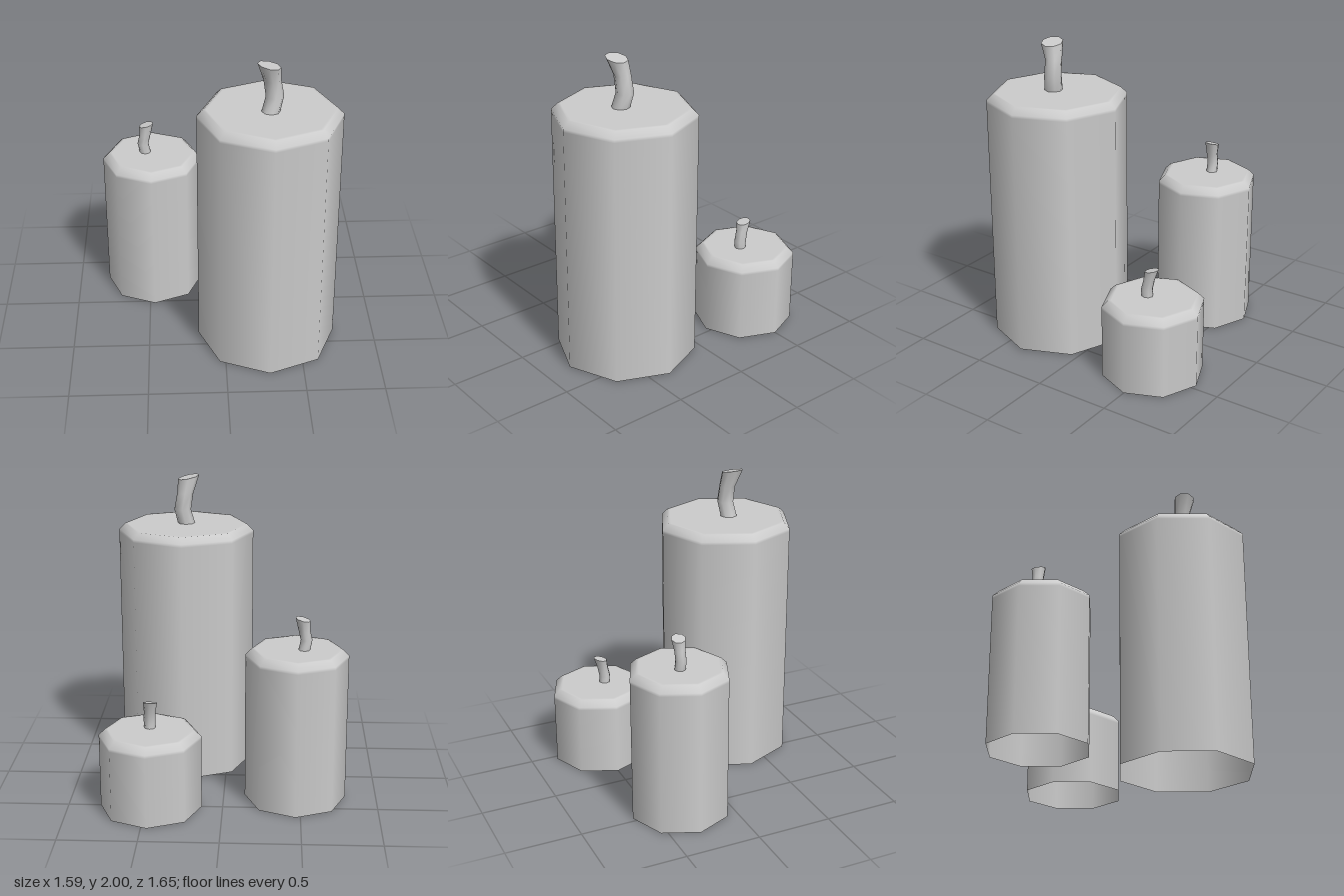
import * as THREE from 'three';

const SIDES = 8;
const BEVEL = 0.04;
const material = new THREE.MeshStandardMaterial({ color: 0xcccccc, side: THREE.DoubleSide });

// Each wick ring is [x, y, z, radius]; tilt is the slope of the cut end along x and z.
const candles = [
  {
    name: 'tallCandle', x: 0.282, z: 0.369, radius: 0.453, height: 1.675,
    rings: [[0.278, 1.66, 0.4, 0.058], [0.305, 1.77, 0.383, 0.056], [0.287, 1.88, 0.388, 0.054], [0.265, 1.985, 0.414, 0.071]],
    tilt: [-0.21, 0.05],
  },
  {
    name: 'mediumCandle', x: -0.468, z: -0.308, radius: 0.33, height: 1.02,
    rings: [[-0.51, 1.01, -0.321, 0.037], [-0.525, 1.085, -0.32, 0.037], [-0.511, 1.145, -0.321, 0.037], [-0.5, 1.223, -0.325, 0.047]],
    tilt: [0.25, 0.05],
  },
  {
    name: 'shortCandle', x: 0.463, z: -0.498, radius: 0.328, height: 0.53,
    rings: [[0.466, 0.52, -0.456, 0.037], [0.468, 0.575, -0.453, 0.038], [0.465, 0.645, -0.468, 0.037], [0.46, 0.708, -0.484, 0.046]],
    tilt: [0.03, -0.24],
  },
];

// Hollow octagonal body, open underneath, with a bevelled top rim
function waxBody({ x, z, radius: r, height: h }) {
  const profile = [
    [r, 0], [r, h - BEVEL - 0.02], [r, h - BEVEL],
    [r - BEVEL, h], [r - BEVEL - 0.02, h], [0, h],
  ].map(([px, py]) => new THREE.Vector2(px, py));
  const mesh = new THREE.Mesh(new THREE.LatheGeometry(profile, SIDES), material);
  mesh.name = 'waxBody';
  mesh.position.set(x, 0, z);
  return mesh;
}

// Bent wick: a unit cylinder whose rings are moved along the bend, with a slanted end
function wick({ rings, tilt }) {
  const last = rings.length - 1;
  const geometry = new THREE.CylinderGeometry(1, 1, 1, SIDES, last);
  const pos = geometry.attributes.position;
  for (let i = 0; i < pos.count; i++) {
    const level = Math.round((pos.getY(i) + 0.5) * last);
    const [cx, cy, cz, r] = rings[level];
    const dx = pos.getX(i) * r;
    const dz = pos.getZ(i) * r;
    const slant = level === last ? dx * tilt[0] + dz * tilt[1] : 0;
    pos.setXYZ(i, cx + dx, cy + slant, cz + dz);
  }
  geometry.computeVertexNormals();
  // Match the normals across the side seam
  const normal = geometry.attributes.normal;
  for (let row = 0; row <= last; row++) {
    const a = row * (SIDES + 1);
    const b = a + SIDES;
    const n = new THREE.Vector3().fromBufferAttribute(normal, a)
      .add(new THREE.Vector3().fromBufferAttribute(normal, b)).normalize();
    normal.setXYZ(a, n.x, n.y, n.z);
    normal.setXYZ(b, n.x, n.y, n.z);
  }
  const mesh = new THREE.Mesh(geometry, material);
  mesh.name = 'wick';
  return mesh;
}

export function createModel() {
  const model = new THREE.Group();
  model.name = 'candles';
  for (const spec of candles) {
    const candle = new THREE.Group();
    candle.name = spec.name;
    candle.add(waxBody(spec), wick(spec));
    model.add(candle);
  }
  return model;
}
